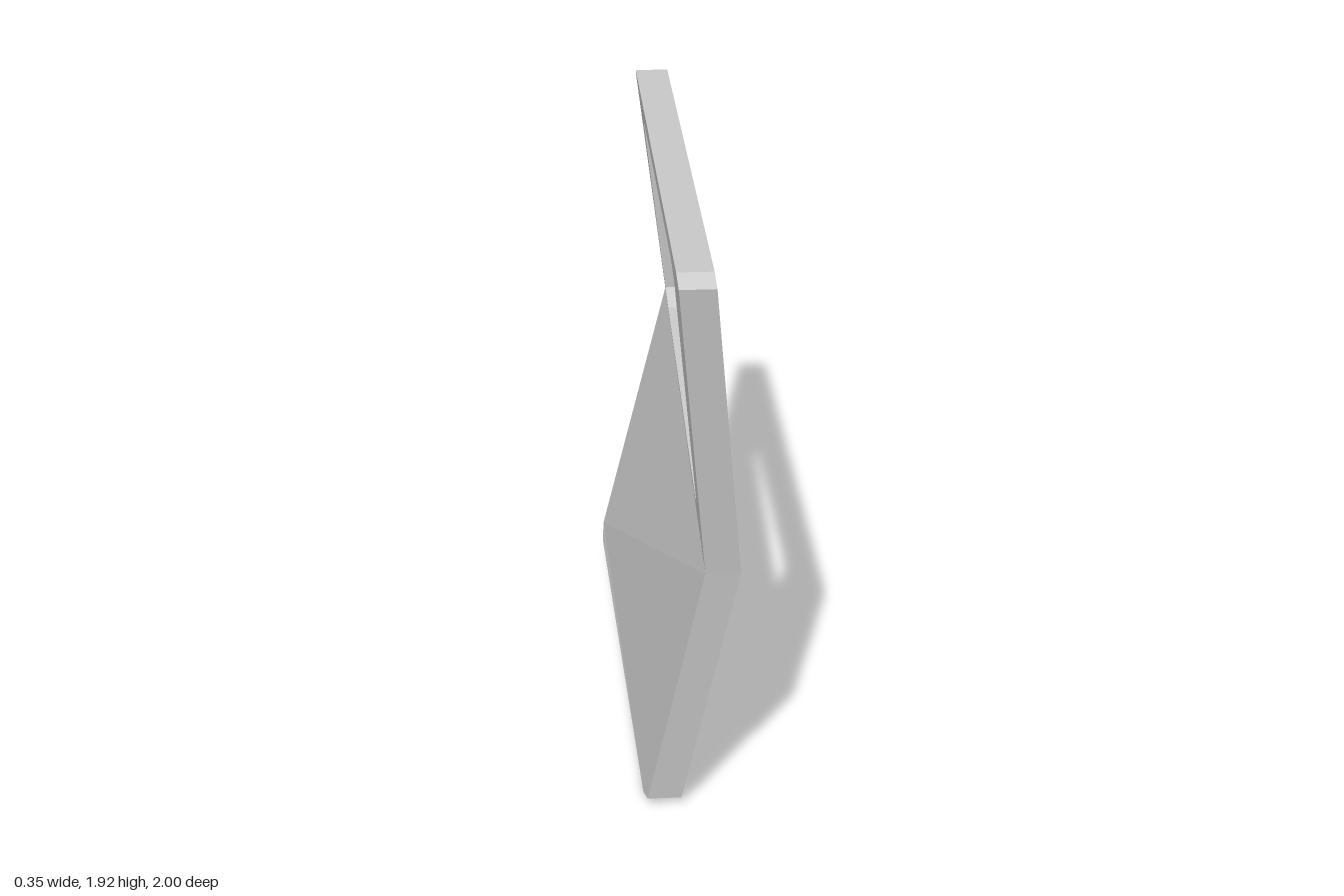
import * as THREE from 'three';

const THICKNESS = 0.105;

// Side outlines as [z, y], anticlockwise when seen from +x
const beltFront = [0.84, 0.912], beltRear = [-1, 0.992];
const upperEdge = [beltRear, [-0.93, 1.82], [-0.87, 1.85], [0.94, 1.925], [1, 1.9], beltFront];
const lowerEdge = [beltFront, [0.715, 0.03], [0.64, 0.003], [-0.79, 0.095], [-0.855, 0.13], beltRear];
const windowEdge = [
  [0.73, 1.805], [0.655, 1.84], [-0.6, 1.77], [-0.69, 1.73],
  [-0.745, 1.11], [-0.665, 1.07], [0.53, 1.0], [0.62, 1.03],
];

// Outer skin: leans inwards above and below the belt line, with a slight twist along z
function skinX(z, y) {
  const d = y - (0.9485 - 0.0435 * z);
  const lean = d > 0 ? 0.109 - 0.017 * z : 0.225 - 0.056 * z;
  return 0.1675 + 0.0025 * z - Math.abs(d) * lean;
}

const outer = ([z, y]) => [skinX(z, y), y, z];
const inner = ([z, y]) => [skinX(z, y) - THICKNESS, y, z];

function makeMesh(name, positions) {
  const geometry = new THREE.BufferGeometry();
  geometry.setAttribute('position', new THREE.Float32BufferAttribute(positions, 3));
  geometry.computeVertexNormals();
  const material = new THREE.MeshStandardMaterial({ color: 0xcccccc, flatShading: true });
  const mesh = new THREE.Mesh(geometry, material);
  mesh.name = name;
  return mesh;
}

// Outer and inner skins filling an outline around optional holes
function skins(name, outline, holes = []) {
  const flat = (loop) => loop.map(([z, y]) => new THREE.Vector2(-z, y));
  const points = [outline, ...holes].flat();
  const positions = [];
  for (const face of THREE.ShapeUtils.triangulateShape(flat(outline), holes.map(flat))) {
    let [a, b, c] = face.map((i) => points[i]);
    const area = (a[0] - b[0]) * (c[1] - a[1]) - (b[1] - a[1]) * (a[0] - c[0]);
    if (area < 0) [b, c] = [c, b];
    positions.push(...outer(a), ...outer(b), ...outer(c));
    positions.push(...inner(a), ...inner(c), ...inner(b));
  }
  return makeMesh(name, positions);
}

// Wall joining both skins along a closed loop, facing away from an anticlockwise loop
function wall(name, loop) {
  const positions = [];
  loop.forEach((a, i) => {
    const b = loop[(i + 1) % loop.length];
    positions.push(...outer(a), ...inner(a), ...inner(b));
    positions.push(...outer(a), ...inner(b), ...outer(b));
  });
  return makeMesh(name, positions);
}

export function createModel() {
  const door = new THREE.Group();
  door.name = 'door';

  // Outlines above run clockwise in (-z, y), so turn the rim anticlockwise
  const rim = [...upperEdge.slice(0, -1), ...lowerEdge.slice(0, -1)];
  const signedArea = (loop) =>
    THREE.ShapeUtils.area(loop.map(([z, y]) => new THREE.Vector2(-z, y)));
  const outward = signedArea(rim) > 0 ? rim : [...rim].reverse();
  const inward = signedArea(windowEdge) < 0 ? windowEdge : [...windowEdge].reverse();

  door.add(
    skins('windowFrame', upperEdge, [windowEdge]),
    skins('lowerPanel', lowerEdge),
    wall('outerRim', outward),
    wall('windowReveal', inward),
  );
  return door;
}
